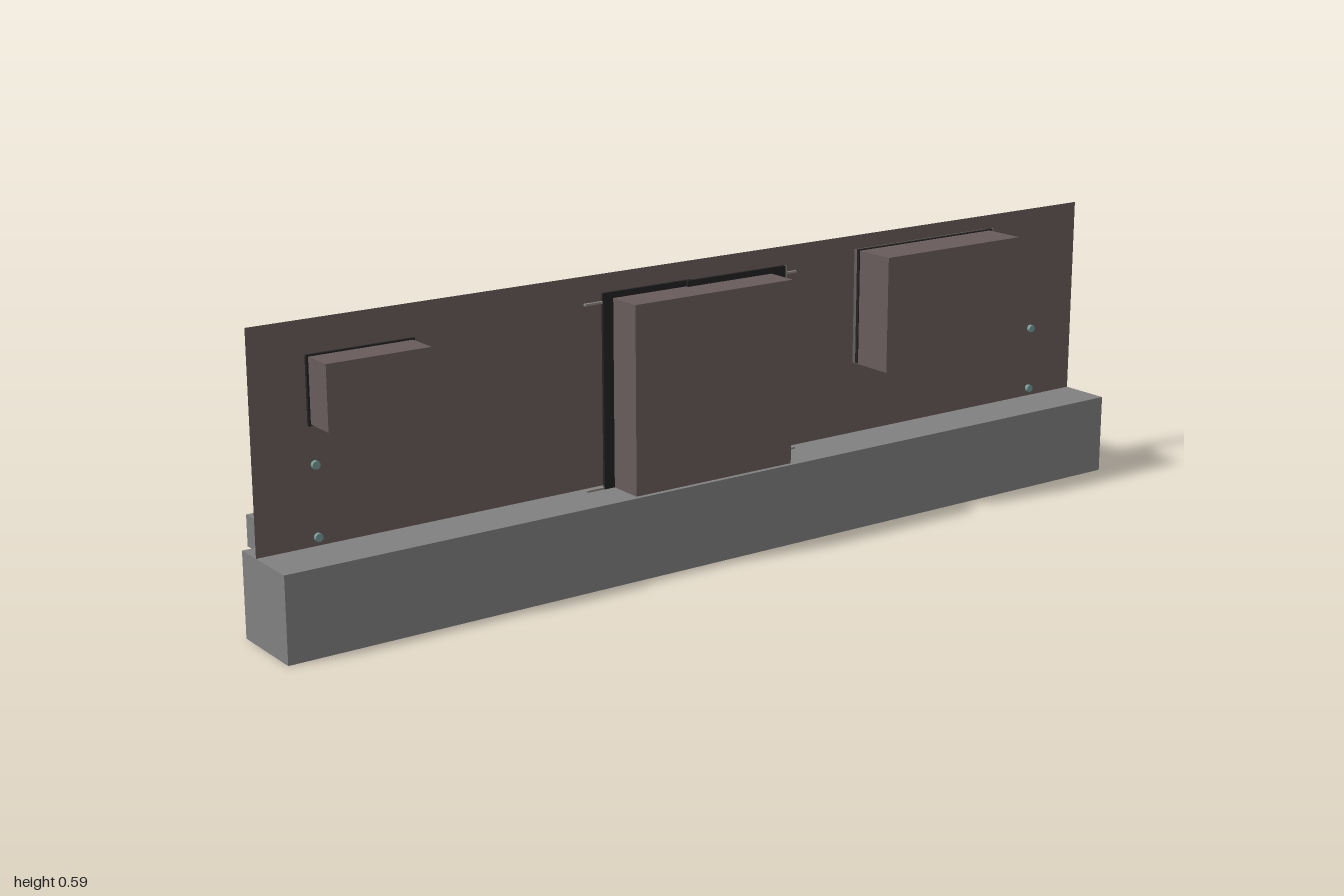
import * as THREE from 'three';

const mat = (color, side = THREE.FrontSide) => new THREE.MeshStandardMaterial({ color, side });

export function createModel() {
  const model = new THREE.Group();
  const concrete = mat(0x808080);
  const plaster = mat(0x685c5b, THREE.DoubleSide);
  const glass = mat(0x222222);
  const frame = mat(0x8a8681);
  const teal = mat(0x739995);

  const add = (parent, name, geometry, material) => {
    const mesh = new THREE.Mesh(geometry, material);
    mesh.name = name;
    parent.add(mesh);
    return mesh;
  };
  const group = (name) => {
    const g = new THREE.Group();
    g.name = name;
    model.add(g);
    return g;
  };
  // Box given by its limits on each axis
  const box = (parent, name, [x0, x1], [y0, y1], [z0, z1], material) => {
    const mesh = add(parent, name, new THREE.BoxGeometry(x1 - x0, y1 - y0, z1 - z0), material);
    mesh.position.set((x0 + x1) / 2, (y0 + y1) / 2, (z0 + z1) / 2);
    return mesh;
  };
  // Round bar between two points
  const bar = (parent, name, a, b, r, material, sides = 12) => {
    const from = new THREE.Vector3(...a), to = new THREE.Vector3(...b);
    const dir = to.clone().sub(from);
    const mesh = add(parent, name, new THREE.CylinderGeometry(r, r, dir.length(), sides), material);
    mesh.position.copy(from).add(to).multiplyScalar(0.5);
    mesh.quaternion.setFromUnitVectors(new THREE.Vector3(0, 1, 0), dir.normalize());
  };

  const floorY = 0.168, wallTop = 0.589, wallZ = 0.068;

  // Concrete base and cantilevered balcony slab
  box(model, 'base', [-1, 1], [0, floorY], [0.012, 0.177], concrete);
  box(model, 'balconySlab', [-0.9, 0.897], [0.104, 0.167], [-0.177, 0.012], concrete);

  // Openings: limits and depth of the room box behind each one
  const door = { x: [-0.247, 0.13], y: [floorY, 0.545], back: 0.167 };
  const large = { x: [0.37, 0.73], y: [0.32, 0.56], back: 0.176 };
  const small = { x: [-0.888, -0.677], y: [0.4, 0.524], back: 0.148 };

  // Thin wall with a door notch and two window holes
  const wall = new THREE.Shape();
  wall.moveTo(-1, floorY);
  wall.lineTo(door.x[0], floorY);
  wall.lineTo(door.x[0], door.y[1]);
  wall.lineTo(door.x[1], door.y[1]);
  wall.lineTo(door.x[1], floorY);
  wall.lineTo(1, floorY);
  wall.lineTo(1, wallTop);
  wall.lineTo(-1, wallTop);
  wall.closePath();
  for (const { x, y } of [large, small]) {
    const hole = new THREE.Path();
    hole.moveTo(x[0], y[0]);
    hole.lineTo(x[0], y[1]);
    hole.lineTo(x[1], y[1]);
    hole.lineTo(x[1], y[0]);
    hole.closePath();
    wall.holes.push(hole);
  }
  add(model, 'wall', new THREE.ShapeGeometry(wall), plaster).position.z = wallZ;

  // Room boxes, open towards the balcony (the last face of the box is dropped)
  const recess = (name, o) => {
    const mesh = box(model, name, o.x, o.y, [wallZ, o.back], plaster);
    mesh.geometry.setIndex(Array.from(mesh.geometry.index.array).slice(0, 30));
  };
  recess('doorRecess', door);
  recess('largeWindowRecess', large);
  recess('smallWindowRecess', small);

  // Sliding door: two panes, tracks, meeting stile and handle
  const doorGroup = group('slidingDoor');
  box(doorGroup, 'leftDoorPane', [-0.075, 0.165], [floorY, 0.557], [0.093, 0.099], glass);
  box(doorGroup, 'rightDoorPane', [-0.27, -0.06], [floorY, 0.557], [0.087, 0.093], glass);
  box(doorGroup, 'doorEdge', [0.165, 0.168], [floorY, 0.557], [0.093, 0.1], frame);
  box(doorGroup, 'meetingStile', [-0.084, -0.079], [floorY, 0.545], [0.085, 0.088], frame);
  for (const y of [floorY, 0.537])
    box(doorGroup, 'doorTrack', [-0.31, 0.2], [y, y + 0.004], [0.086, 0.092], frame);
  bar(doorGroup, 'doorHandle', [-0.08, 0.27, 0.08], [-0.08, 0.45, 0.08], 0.004, frame);

  // Large window: pane with two mullions
  const largeGroup = group('largeWindow');
  box(largeGroup, 'largePane', [0.368, 0.738], [0.322, 0.562], [0.079, 0.086], glass);
  box(largeGroup, 'windowEdge', [0.738, 0.741], [0.322, 0.562], [0.078, 0.087], frame);
  for (const x of [0.522, 0.6])
    box(largeGroup, 'mullion', [x - 0.004, x + 0.004], large.y, [0.075, 0.079], frame);

  // Small window: pane with a rim and a lattice of bars
  const smallGroup = group('smallWindow');
  box(smallGroup, 'smallPane', [-0.892, -0.673], [0.397, 0.527], [0.076, 0.082], glass);
  for (let i = 1; i < 4; i++) {
    const x = THREE.MathUtils.lerp(...small.x, i / 4);
    box(smallGroup, 'verticalBar', [x - 0.003, x + 0.003], small.y, [0.067, 0.073], frame);
  }
  for (let i = 1; i < 3; i++) {
    const y = THREE.MathUtils.lerp(...small.y, i / 3);
    box(smallGroup, 'horizontalBar', small.x, [y - 0.003, y + 0.003], [0.067, 0.073], frame);
  }

  // Balcony railing: posts, rails and evenly spaced balusters
  const railing = group('railing');
  const railX = 0.877, railZ = -0.156, low = 0.185, high = 0.321;
  const posts = [-railX, -0.398, 0.036, 0.485, railX];
  for (const x of posts)
    bar(railing, 'post', [x, floorY - 0.002, railZ], [x, 0.33, railZ], 0.011, teal, 16);
  for (const y of [low, high]) {
    bar(railing, 'backRail', [-railX, y, railZ], [railX, y, railZ], 0.008, teal);
    for (const x of [-railX, railX])
      bar(railing, 'sideRail', [x, y, railZ], [x, y, 0.076], 0.008, teal);
  }
  const baluster = (x, z) => bar(railing, 'baluster', [x, low, z], [x, high, z], 0.0038, teal, 8);
  for (let p = 0; p < posts.length - 1; p++) {
    const n = Math.round((posts[p + 1] - posts[p]) / 0.053);
    for (let i = 1; i < n; i++)
      baluster(THREE.MathUtils.lerp(posts[p], posts[p + 1], i / n), railZ);
  }
  for (const x of [-railX, railX])
    for (let i = 0; i < 4; i++) baluster(x, 0.027 - i * 0.047);

  return model;
}
